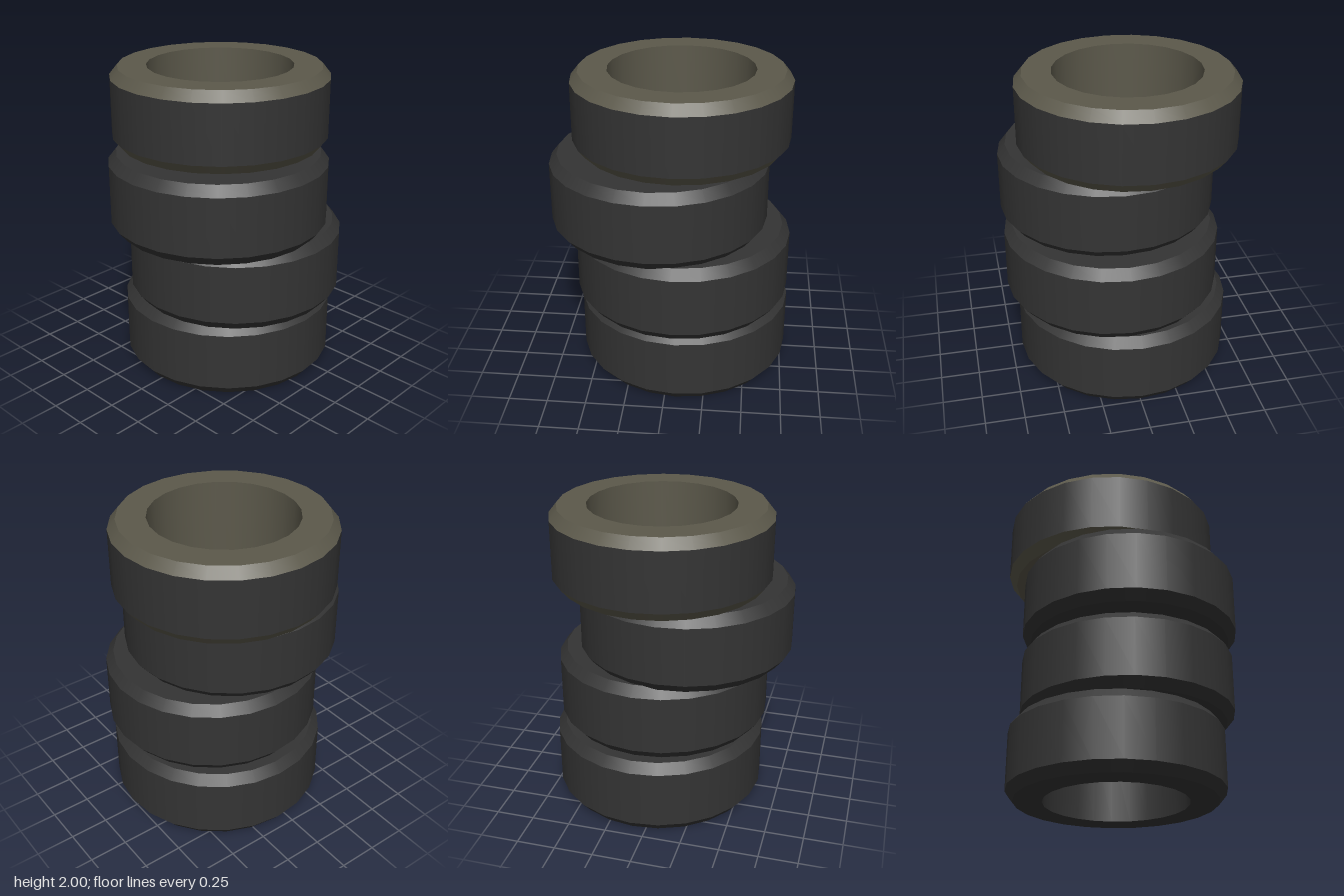
import * as THREE from 'three';
import { mergeGeometries } from 'three/addons/utils/BufferGeometryUtils.js';

const SIDES = 24;
const OUTER = 0.698, RIM = 0.647, HOLE = 0.465, BEVEL = 0.063;

// One ring of faces between two profile points: smooth around, sharp at its edges
function band([r1, y1], [r2, y2]) {
  return new THREE.LatheGeometry([new THREE.Vector2(r1, y1), new THREE.Vector2(r2, y2)], SIDES);
}

function createTyre(name, h, treadMaterial, sideMaterial) {
  const tyre = new THREE.Group();
  tyre.name = name;

  // Outer running surface
  const tread = new THREE.Mesh(band([OUTER, BEVEL], [OUTER, h - BEVEL]), treadMaterial);
  tread.name = 'tread';

  // Flat faces, bevels and inner wall
  const sides = new THREE.Mesh(mergeGeometries([
    band([HOLE, 0], [RIM, 0]),
    band([RIM, 0], [OUTER, BEVEL]),
    band([OUTER, h - BEVEL], [RIM, h]),
    band([RIM, h], [HOLE, h]),
    band([HOLE, h], [HOLE, 0]),
  ]), sideMaterial);
  sides.name = 'sidewallsAndBore';

  tyre.add(tread, sides);
  return tyre;
}

export function createModel() {
  const rubber = new THREE.MeshStandardMaterial({ color: 0x343434 });
  rubber.name = 'darkRubber';
  const dusty = new THREE.MeshStandardMaterial({ color: 0x5c594b });
  dusty.name = 'dustyOlive';

  const model = new THREE.Group();
  model.name = 'tyreStack';

  // Loosely stacked tyres, bottom to top
  const stack = [
    { name: 'bottomTyre', x: 0.08, y: 0, z: -0.015, h: 0.505, turn: -0.02, side: rubber },
    { name: 'lowerTyre', x: 0.07, y: 0.505, z: 0.055, h: 0.505, turn: -0.026, side: rubber },
    { name: 'upperTyre', x: -0.083, y: 0.998, z: 0.055, h: 0.502, turn: -0.03, side: rubber },
    { name: 'topTyre', x: 0.048, y: 1.5, z: -0.057, h: 0.5, turn: 0, side: dusty },
  ];
  for (const { name, x, y, z, h, turn, side } of stack) {
    const tyre = createTyre(name, h, rubber, side);
    tyre.position.set(x, y, z);
    tyre.rotation.y = turn;
    model.add(tyre);
  }
  return model;
}
